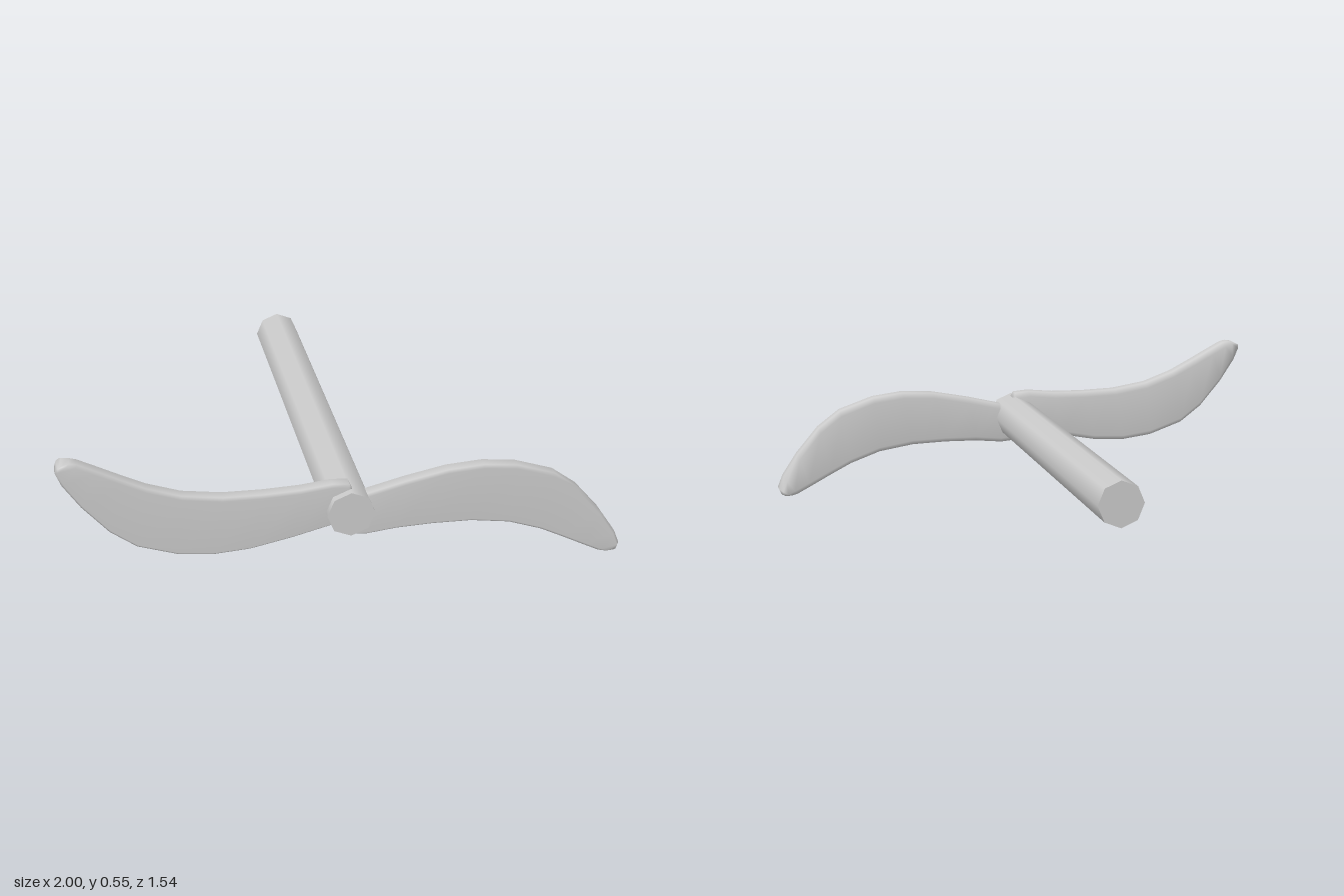
import * as THREE from 'three';

const material = new THREE.MeshStandardMaterial({ color: 0xcccccc });
const AXIS_Y = 0.28;

// Blade stations from root to tip: [upper x, upper y, lower x, lower y]
const STATIONS = [
  [0.0, 0.31, -0.01, 0.2],
  [0.05, 0.333, 0.0, 0.18],
  [0.1, 0.345, 0.06, 0.175],
  [0.2, 0.37, 0.17, 0.187],
  [0.35, 0.4, 0.3, 0.191],
  [0.48, 0.408, 0.44, 0.188],
  [0.6, 0.394, 0.58, 0.167],
  [0.74, 0.347, 0.7, 0.125],
  [0.83, 0.28, 0.78, 0.085],
  [0.92, 0.175, 0.87, 0.038],
  [0.98, 0.085, 0.925, 0.01],
  [1.0, 0.035, 0.95, 0.004],
  [0.993, 0.018, 0.975, 0.008],
];

// Lofts a slab with a crisp front edge and a softer back edge
function bladeGeometry() {
  const half = 0.035;
  const positions = [];
  const index = [];
  const n = 8;
  for (const [tx, ty, bx, by] of STATIONS) {
    const chord = Math.hypot(bx - tx, by - ty);
    const f = Math.min(0.01, chord * 0.3);
    const b = Math.min(0.02, chord * 0.3);
    const section = [
      [f, half], [chord - f, half], [chord, half - f], [chord, b - half],
      [chord - b, -half], [b, -half], [0, b - half], [0, half - f],
    ];
    for (const [d, z] of section) {
      const t = d / chord;
      positions.push(tx + (bx - tx) * t, ty + (by - ty) * t - AXIS_Y, z);
    }
  }
  const last = (STATIONS.length - 1) * n;
  for (let i = 0; i < last; i += n) {
    for (let j = 0; j < n; j++) {
      const k = (j + 1) % n;
      index.push(i + j, i + k, i + n + j, i + k, i + n + k, i + n + j);
    }
  }
  // Root and tip caps
  for (let j = 1; j < n - 1; j++) {
    index.push(0, j + 1, j, last, last + j, last + j + 1);
  }
  const geometry = new THREE.BufferGeometry();
  geometry.setAttribute('position', new THREE.Float32BufferAttribute(positions, 3));
  geometry.setIndex(index);
  geometry.computeVertexNormals();
  return geometry;
}

export function createModel() {
  const model = new THREE.Group();
  model.name = 'propeller';

  // Octagonal shaft running front to back
  const shaft = new THREE.Mesh(new THREE.CylinderGeometry(0.085, 0.085, 1.54, 8), material);
  shaft.name = 'shaft';
  shaft.rotation.x = Math.PI / 2;
  shaft.position.y = AXIS_Y;
  model.add(shaft);

  // Two blades, half a turn apart
  const geometry = bladeGeometry();
  ['leftBlade', 'rightBlade'].forEach((name, i) => {
    const blade = new THREE.Mesh(geometry, material);
    blade.name = name;
    blade.position.set(0, AXIS_Y, 0.708);
    blade.rotation.z = i * Math.PI;
    model.add(blade);
  });
  return model;
}
